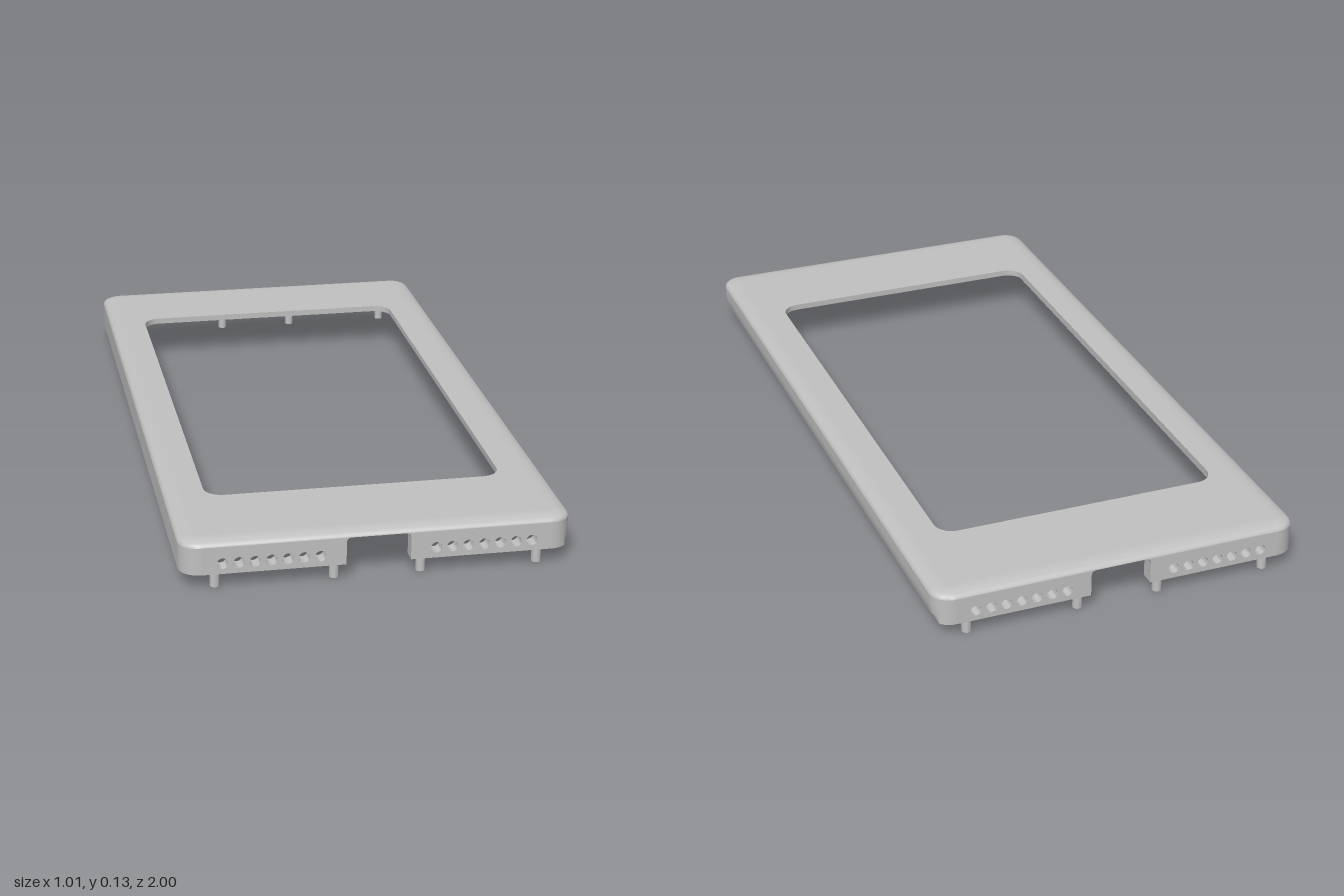
import * as THREE from 'three';
import { toCreasedNormals } from 'three/addons/utils/BufferGeometryUtils.js';

const HALF_X = 0.505, HALF_Z = 1, BOTTOM = 0.04, UNDER = 0.113, TOP = 0.13;
const CORNER = 0.055, INSET = 0.045, SIDE_WALL = 0.05, END_WALL = 0.04;

// Rounded rectangle in plan, as points (x, z)
function roundedRect(x0, x1, z0, z1, r, n = 8) {
  const pts = [];
  const centres = [[x1 - r, z1 - r], [x0 + r, z1 - r], [x0 + r, z0 + r], [x1 - r, z0 + r]];
  centres.forEach(([cx, cz], q) => {
    for (let i = 0; i <= n; i++) {
      const a = (q + i / n) * Math.PI / 2;
      pts.push(new THREE.Vector2(cx + r * Math.cos(a), cz + r * Math.sin(a)));
    }
  });
  return pts;
}

// Extrude a plan shape downwards from a given height
function extrudePlan(shape, top, depth, steps = 1) {
  const g = new THREE.ExtrudeGeometry(shape, { depth, steps, bevelEnabled: false, curveSegments: 10 });
  return g.rotateX(Math.PI / 2).translate(0, top, 0);
}

const outline = inset => roundedRect(-HALF_X + inset, HALF_X - inset,
  -HALF_Z + inset, HALF_Z - inset, CORNER - inset);

// Rounded rim swept around the cover, closed underneath
function rimGeometry() {
  const rings = [[INSET, UNDER]];
  for (let i = 0; i <= 8; i++) {
    const a = i / 8 * Math.PI / 2;
    rings.push([INSET * (1 - Math.cos(a)), UNDER + (TOP - UNDER) * Math.sin(a)]);
  }
  const pos = [], index = [];
  rings.forEach(([inset, y]) => outline(inset).forEach(p => pos.push(p.x, y, p.y)));
  const n = outline(0).length;
  for (let j = 0; j < rings.length - 1; j++) {
    for (let i = 0; i < n; i++) {
      const a = j * n + i, b = j * n + (i + 1) % n, c = b + n, d = a + n;
      index.push(a, d, b, b, d, c);
    }
  }
  const g = new THREE.BufferGeometry();
  g.setAttribute('position', new THREE.Float32BufferAttribute(pos, 3));
  g.setIndex(index);
  return g;
}

// Long wall with its two rounded corners; the +x one has a bevelled lower edge
function sideWallGeometry(s) {
  const xe = HALF_X - CORNER, zi = HALF_Z - END_WALL, xi = HALF_X - SIDE_WALL;
  const pts = roundedRect(-HALF_X, HALF_X, -HALF_Z, HALF_Z, CORNER)
    .filter(p => p.x > xe - 1e-6)
    .sort((a, b) => a.y - b.y);
  pts.push(new THREE.Vector2(xe, zi), new THREE.Vector2(xi, zi),
    new THREE.Vector2(xi, -zi), new THREE.Vector2(xe, -zi));
  const shape = new THREE.Shape(pts.map(p => new THREE.Vector2(s * p.x, p.y)));
  const g = extrudePlan(shape, UNDER, UNDER - BOTTOM, 3);
  if (s > 0) {
    const p = g.attributes.position;
    for (let i = 0; i < p.count; i++) {
      if (p.getY(i) < BOTTOM + 0.001) p.setX(i, Math.min(p.getX(i), 0.49));
    }
  }
  return g;
}

// Half of an end wall, with seven round holes and a filleted notch edge
function endPanelGeometry(s) {
  const xe = HALF_X - CORNER;
  const shape = new THREE.Shape();
  shape.moveTo(s * 0.083, BOTTOM);
  shape.lineTo(s * xe, BOTTOM);
  shape.lineTo(s * xe, UNDER);
  shape.lineTo(s * 0.068, UNDER);
  shape.quadraticCurveTo(s * 0.083, UNDER, s * 0.083, UNDER - 0.015);
  shape.closePath();
  for (let i = 0; i < 7; i++) {
    const hole = new THREE.Path();
    hole.absarc(s * (0.149 + i * 0.0415), 0.068, 0.0145, 0, Math.PI * 2);
    shape.holes.push(hole);
  }
  return new THREE.ExtrudeGeometry(shape, { depth: END_WALL, bevelEnabled: false, curveSegments: 12 });
}

export function createModel() {
  const group = new THREE.Group();
  const grey = new THREE.MeshStandardMaterial({ color: 0xc0c0c0 });
  grey.name = 'light grey';

  const add = (name, geometry, x = 0, y = 0, z = 0) => {
    const mesh = new THREE.Mesh(toCreasedNormals(geometry, 0.6), grey);
    mesh.name = name;
    mesh.position.set(x, y, z);
    group.add(mesh);
  };

  // Flat top frame around the window
  const frame = new THREE.Shape(outline(INSET));
  frame.holes.push(new THREE.Path(roundedRect(-0.4, 0.39, -0.72, 0.715, 0.05)));
  add('topFrame', extrudePlan(frame, TOP, TOP - UNDER));
  add('roundedRim', rimGeometry());

  // Walls and locating pegs
  for (const s of [-1, 1]) {
    add(s > 0 ? 'leftWall' : 'rightWall', sideWallGeometry(s));
    for (const end of [-1, 1]) {
      const place = (end > 0 ? 'front' : 'back') + (s > 0 ? 'Left' : 'Right');
      add(place + 'EndPanel', endPanelGeometry(s), 0, 0, end > 0 ? HALF_Z - END_WALL : -HALF_Z);
      for (const [label, x] of [['Inner', 0.112], ['Outer', 0.416]]) {
        add(place + label + 'Peg', new THREE.CylinderGeometry(0.0125, 0.0125, 0.045, 20),
          s * x, 0.0225, end * 0.978);
      }
    }
  }
  return group;
}
